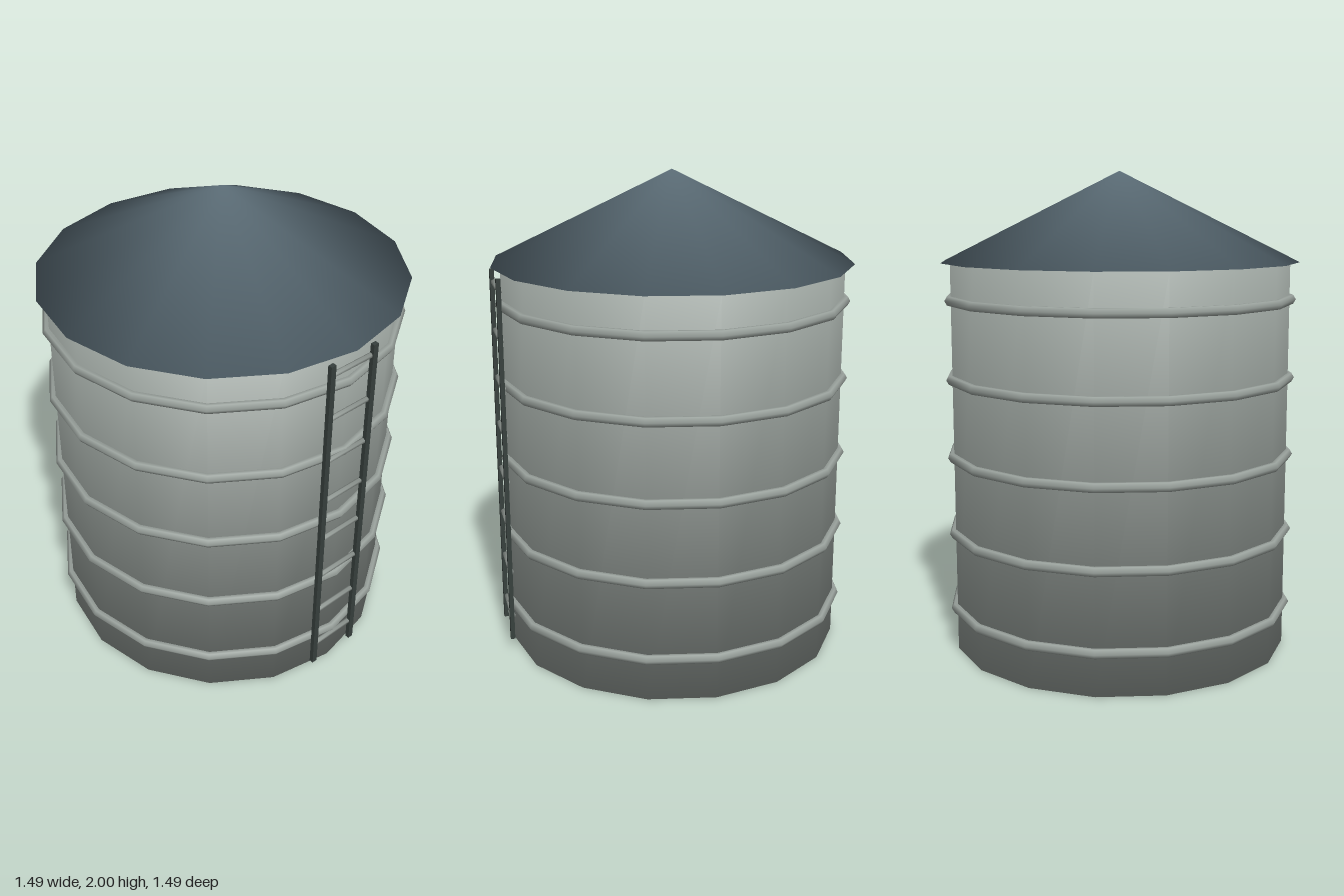
import * as THREE from 'three';

const SIDES = 16;

// Closed drum (or cone when topRadius is 0) with normals shared across side and caps,
// weighted by corner angle so the whole solid shades smoothly.
function smoothDrum(bottomRadius, topRadius, y0, y1, sides) {
  const points = [], faces = [];
  const ring = (r, y) => {
    for (let i = 0; i < sides; i++) {
      const a = (i / sides) * Math.PI * 2;
      points.push(new THREE.Vector3(Math.cos(a) * r, y, Math.sin(a) * r));
    }
  };
  ring(bottomRadius, y0);
  const cone = topRadius === 0;
  if (cone) points.push(new THREE.Vector3(0, y1, 0));
  else ring(topRadius, y1);

  for (let i = 0; i < sides; i++) {
    const j = (i + 1) % sides;
    if (cone) faces.push([i, sides, j]);
    else faces.push([i, sides + i, j], [j, sides + i, sides + j]);
  }
  for (let i = 1; i < sides - 1; i++) {
    faces.push([0, i, i + 1]);
    if (!cone) faces.push([sides, sides + i + 1, sides + i]);
  }

  const normals = points.map(() => new THREE.Vector3());
  for (const f of faces) {
    const [a, b, c] = f.map((k) => points[k]);
    const n = b.clone().sub(a).cross(c.clone().sub(a)).normalize();
    f.forEach((k, s) => {
      const u = points[f[(s + 1) % 3]].clone().sub(points[k]);
      const v = points[f[(s + 2) % 3]].clone().sub(points[k]);
      normals[k].addScaledVector(n, u.angleTo(v));
    });
  }
  const geometry = new THREE.BufferGeometry();
  geometry.setAttribute('position', new THREE.Float32BufferAttribute(points.flatMap((p) => p.toArray()), 3));
  geometry.setAttribute('normal', new THREE.Float32BufferAttribute(normals.flatMap((n) => n.normalize().toArray()), 3));
  geometry.setIndex(faces.flat());
  return geometry;
}

function material(name, color) {
  const m = new THREE.MeshStandardMaterial({ color });
  m.name = name;
  return m;
}

export function createModel() {
  const model = new THREE.Group();
  model.name = 'storageTank';

  const wallGrey = material('wall grey', 0x9aa29d);
  const roofBlue = material('roof blue grey', 0x5e707a);
  const railDark = material('rail dark grey', 0x37403d);

  const add = (parent, name, geometry, mat, x = 0, y = 0, z = 0) => {
    const mesh = new THREE.Mesh(geometry, mat);
    mesh.name = name;
    mesh.position.set(x, y, z);
    parent.add(mesh);
    return mesh;
  };

  // Tank body and overhanging conical roof
  add(model, 'wall', smoothDrum(0.708, 0.708, 0, 1.63, SIDES), wallGrey);
  add(model, 'roof', smoothDrum(0.747, 0, 1.63, 2, SIDES), roofBlue);

  // Hoops around the wall
  const hoops = new THREE.Group();
  hoops.name = 'hoops';
  const hoopGeometry = new THREE.TorusGeometry(0.713, 0.021, 6, SIDES).rotateX(Math.PI / 2);
  for (let i = 0; i < 5; i++) add(hoops, 'hoop', hoopGeometry, wallGrey, 0, 0.178 + i * 0.325, 0);
  model.add(hoops);

  // Ladder on the front
  const ladder = new THREE.Group();
  ladder.name = 'ladder';
  const railGeometry = new THREE.BoxGeometry(0.024, 1.55, 0.018);
  for (const side of [-1, 1]) add(ladder, 'ladderRail', railGeometry, railDark, side * 0.109, 0.83, 0.73);
  const rungGeometry = smoothDrum(0.011, 0.011, -0.105, 0.105, 6).rotateZ(Math.PI / 2);
  for (let i = 0; i < 8; i++) add(ladder, 'ladderRung', rungGeometry, wallGrey, 0, 0.155 + i * 0.2, 0.725);
  model.add(ladder);

  return model;
}
